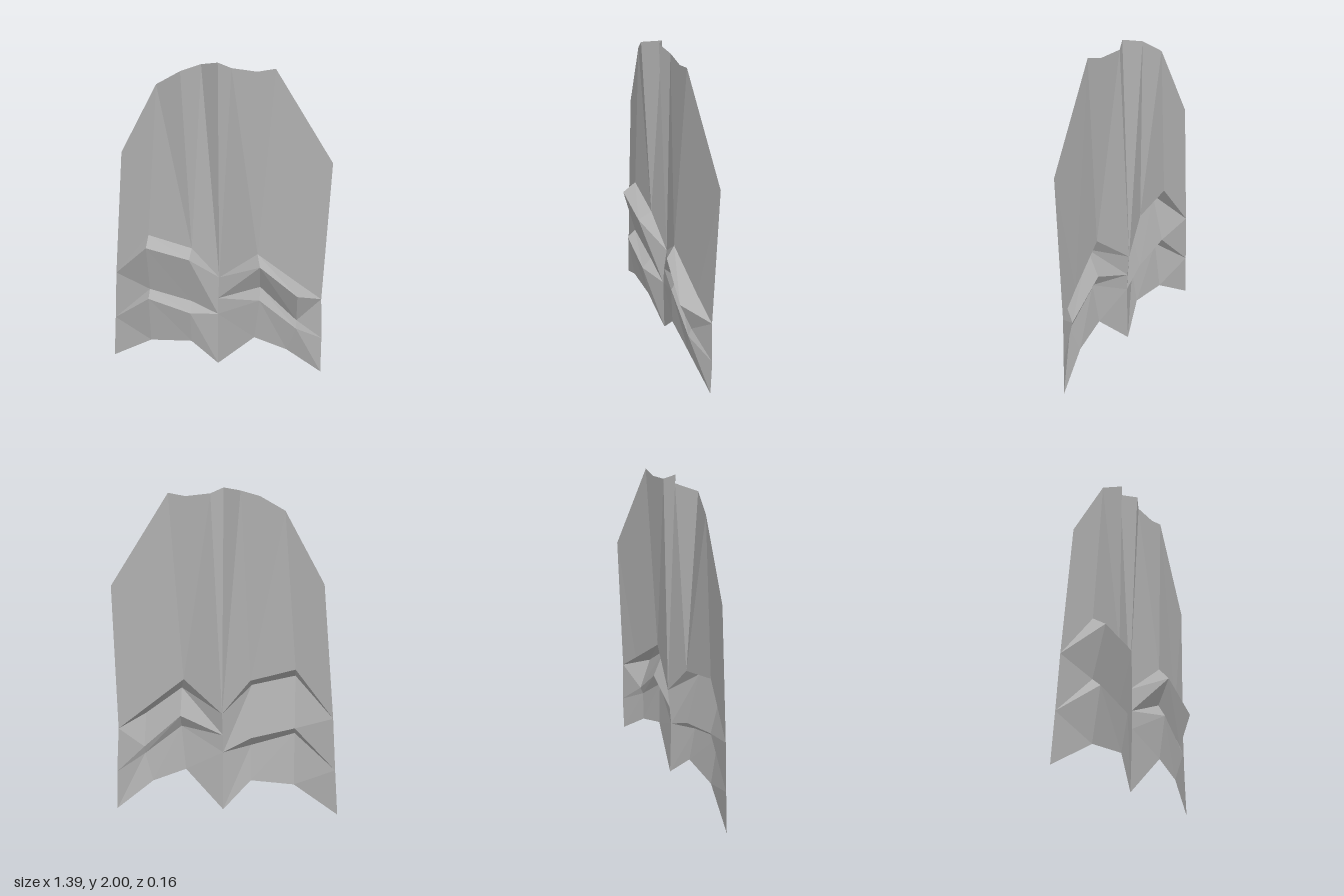
import * as THREE from 'three';

const grey = new THREE.MeshStandardMaterial({ color: 0xb0b0b0, flatShading: true, side: THREE.DoubleSide });
grey.name = 'grey';

// Joins two rows of points, both running -x to +x. 'l' steps the lower row, 'u' the upper.
function zip(lower, upper, path, out) {
  let i = 0, j = 0;
  for (const step of path) {
    if (step === 'l') out.push(lower[i], lower[++i], upper[j]);
    else out.push(lower[i], upper[j + 1], upper[j++]);
  }
}

function sheet(name, triangles) {
  const geometry = new THREE.BufferGeometry();
  geometry.setAttribute('position', new THREE.Float32BufferAttribute(triangles.flat(), 3));
  geometry.computeVertexNormals();
  const mesh = new THREE.Mesh(geometry, grey);
  mesh.name = name;
  return mesh;
}

export function createModel() {
  const group = new THREE.Group();
  group.name = 'foldedSheet';

  // Centre line, top to bottom
  const c4 = [0.015, 0.64, -0.065], c3 = [0.01, 0.5, -0.05];
  const c1 = [0.01, 0.39, -0.045], c0 = [0.01, 0.02, -0.055];

  // Rows on the -x half, from hem to the top of the upper fold
  const rightEdge = [-0.66, 0.63, -0.08], lowEdge = [-0.68, 0.305, -0.08];
  const rightRows = [
    [[-0.7, 0.02, -0.08], [-0.43, 0.185, -0.02], [-0.16, 0.2, -0.01], c0],
    [lowEdge, [-0.43, 0.505, 0.025], [-0.16, 0.42, 0.03], c1],
    [lowEdge, [-0.43, 0.55, -0.03], [-0.16, 0.48, -0.03], c1],
    [rightEdge, [-0.43, 0.865, 0.05], [-0.16, 0.8, 0.055], c4],
    [rightEdge, [-0.43, 0.92, -0.037], [-0.155, 0.845, -0.033], c4],
  ];

  // Rows on the +x half
  const leftEdge = [0.665, 0.53, -0.055];
  const leftRows = [
    [c0, [0.25, 0.26, 0], [0.46, 0.18, -0.01], [0.685, 0.005, -0.055]],
    [c1, [0.28, 0.535, 0.025], [0.515, 0.35, 0.02], [0.68, 0.25, -0.06]],
    [c3, [0.28, 0.61, -0.02], [0.515, 0.4, 0], leftEdge],
    [c3, [0.28, 0.775, 0.057], [0.515, 0.6, 0.078], leftEdge],
    [c4, [0.26, 0.84, 0], [0.515, 0.645, -0.03], leftEdge],
  ];

  // Folded tiers
  for (const [name, rows] of [['rightFolds', rightRows], ['leftFolds', leftRows]]) {
    const triangles = [];
    for (let r = 0; r < 4; r++) zip(rows[r], rows[r + 1], 'lululu', triangles);
    group.add(sheet(name, triangles));
  }

  // Tall upper sheet with pleats
  const top = [
    [-0.59, 1.44, -0.08], [-0.355, 1.865, -0.04], [-0.205, 1.95, 0.005],
    [-0.095, 1.98, -0.075], [0.01, 2, -0.01], [0.085, 1.965, -0.045],
    [0.235, 1.95, -0.03], [0.34, 1.97, -0.02], [0.69, 1.42, -0.055],
  ];
  const bottom = [...rightRows[4], ...leftRows[4].slice(1)];
  const upper = [];
  zip(bottom, top, 'luluuluuluulul', upper);
  group.add(sheet('upperSheet', upper));

  return group;
}
